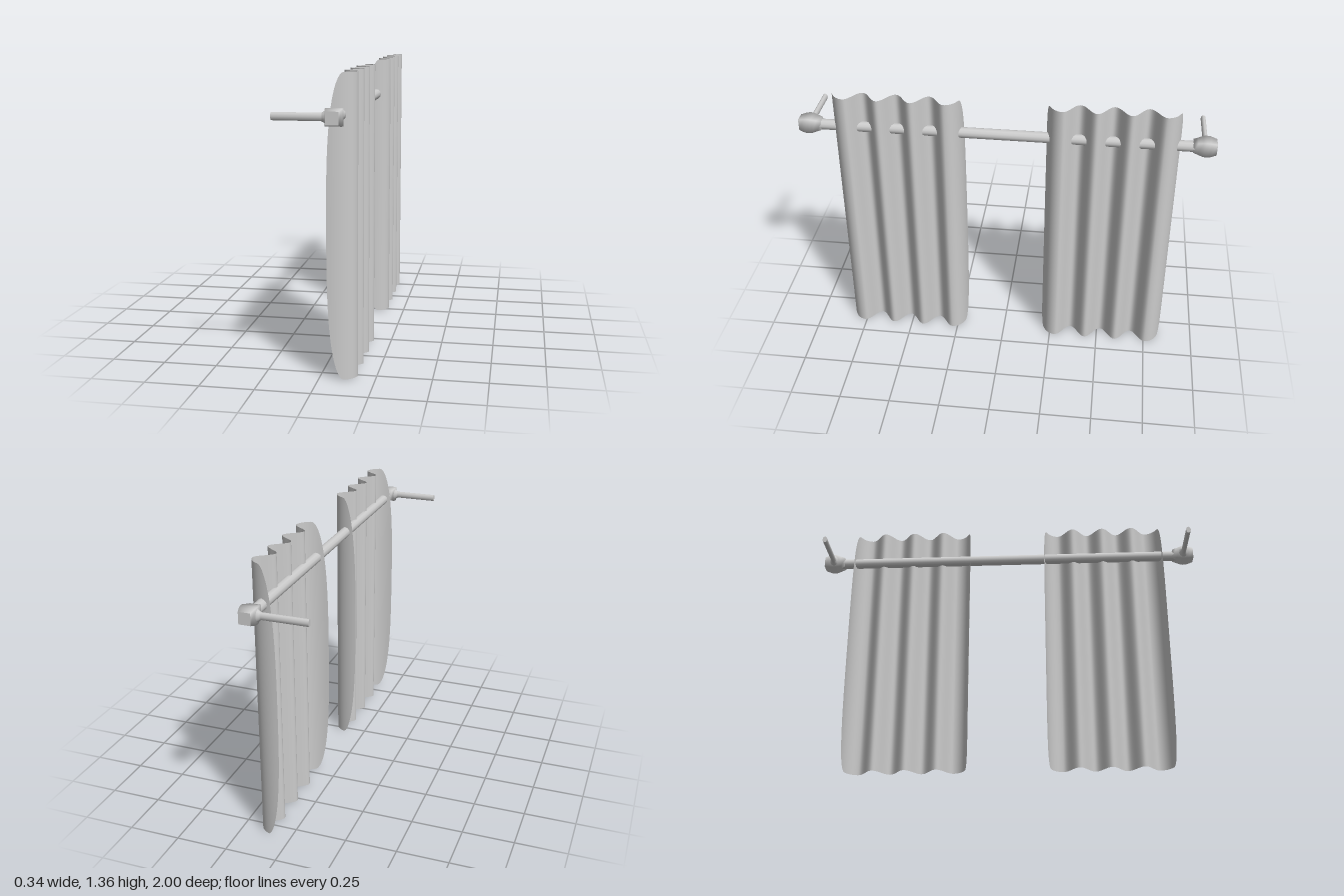
import * as THREE from 'three';

const ROD_X = 0.097, ROD_Y = 1.18;
const HEIGHT = 1.36, CREST = 0.165, PLEAT = 0.16;

const mat = new THREE.MeshStandardMaterial({ color: 0xcccccc });
const clothMat = new THREE.MeshStandardMaterial({ color: 0xcccccc, side: THREE.DoubleSide });

function addMesh(parent, name, geometry, material = mat) {
  const mesh = new THREE.Mesh(geometry, material);
  mesh.name = name;
  parent.add(mesh);
  return mesh;
}

const lathe = (pts, segments, phi = 0) =>
  new THREE.LatheGeometry(pts.map(([r, h]) => new THREE.Vector2(r, h)), segments, phi);

// Pleated cloth: sine folds in the middle, side hems curling back around the rod
function curtainGeometry() {
  const geo = new THREE.PlaneGeometry(1, 1, 96, 48);
  const pos = geo.attributes.position;
  const half = 1.5 * PLEAT; // distance from the centre to the outermost crest
  for (let i = 0; i < pos.count; i++) {
    const s = pos.getX(i) * 2;
    const y = HEIGHT / 2 * (1 + Math.sin(pos.getY(i) * Math.PI));
    const t = Math.min(1, Math.abs(y / (HEIGHT / 2) - 1));
    let x, z;
    if (Math.abs(s) <= 0.75) {
      z = s / 0.75 * half;
      x = 0.1275 - 0.0375 * Math.cos(z / PLEAT * Math.PI * 2);
    } else {
      // Hem reaches further back at mid height than at top and bottom
      const edge = 0.115 - 0.077 * Math.sqrt(1 - t ** 3);
      const depth = 0.127;
      const a = (Math.abs(s) - 0.75) / 0.25 * Math.acos(1 - (CREST - edge) / depth);
      x = CREST - depth * (1 - Math.cos(a));
      z = Math.sign(s) * (half + 0.078 * Math.sin(a));
    }
    pos.setXYZ(i, x, y, -z);
  }
  geo.computeVertexNormals();
  return geo;
}

export function createModel() {
  const model = new THREE.Group();
  model.name = 'curtainsOnRod';

  // Rod
  const rod = addMesh(model, 'rod', new THREE.CylinderGeometry(0.026, 0.026, 1.84, 12));
  rod.rotation.x = Math.PI / 2;
  rod.position.set(ROD_X, ROD_Y, 0);

  const cloth = curtainGeometry();
  // Squared bulging knob, half-width and distance along the rod
  const knob = lathe([[0, 0.89], [0.024, 0.89], [0.029, 0.91], [0.036, 0.935], [0.0375, 0.95],
    [0.036, 0.97], [0.028, 1], [0.028, 1], [0, 1]].map(([r, h]) => [r * Math.SQRT2, h]), 4, Math.PI / 4);
  // Wall arm flaring into the knob
  const arm = lathe([[0, -0.17], [0.0175, -0.17], [0.0175, -0.17], [0.0175, 0.042],
    [0.021, 0.05], [0.034, 0.066], [0.034, 0.08]], 12);

  for (const side of [1, -1]) {
    const label = side > 0 ? 'front' : 'back';
    addMesh(model, label + 'Curtain', cloth, clothMat).position.z = side * 0.517;

    const finial = addMesh(model, label + 'Finial', knob);
    finial.rotation.x = side * Math.PI / 2;
    finial.position.set(ROD_X, ROD_Y + 0.003, 0);

    const bracket = addMesh(model, label + 'Bracket', arm);
    bracket.rotation.z = -Math.PI / 2;
    bracket.scale.z = 0.7;
    bracket.position.set(0, ROD_Y + 0.003, side * 0.948);
  }
  return model;
}
